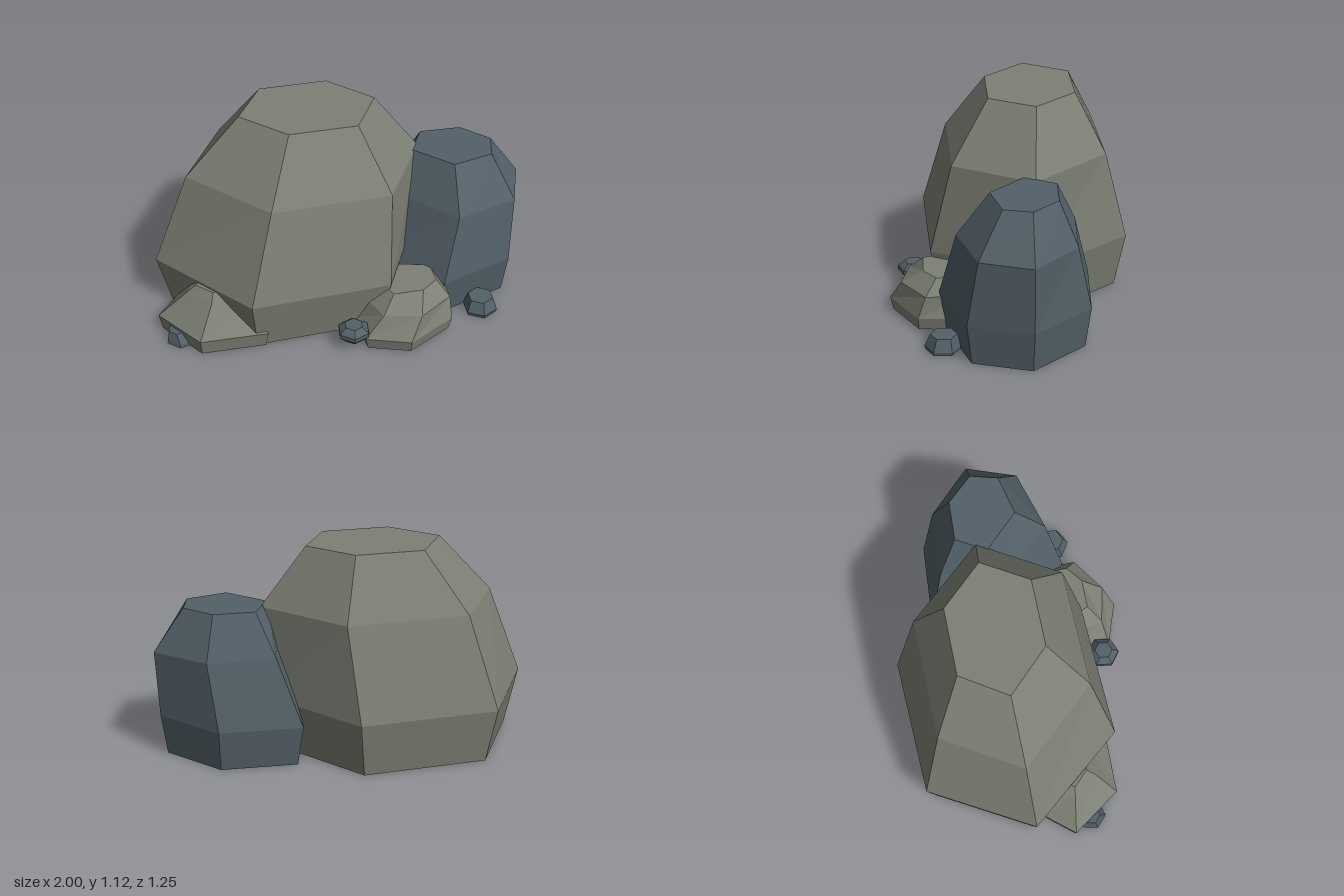
import * as THREE from 'three';

// Lofts a faceted stone through rings [y, [[x, z], ...]], counterclockwise from above.
function stone(name, material, rings) {
  const pts = rings.map(([y, ring]) => ring.map(([x, z]) => [x, y, z]));
  const n = pts[0].length;
  const pos = [];
  const tri = (a, b, c) => pos.push(...a, ...b, ...c);
  for (let k = 0; k < pts.length - 1; k++) {
    const lo = pts[k], hi = pts[k + 1];
    for (let i = 0; i < n; i++) {
      const j = (i + 1) % n;
      tri(lo[i], lo[j], hi[j]);
      tri(lo[i], hi[j], hi[i]);
    }
  }
  const bottom = pts[0], top = pts[pts.length - 1];
  for (let i = 1; i < n - 1; i++) {
    tri(top[0], top[i], top[i + 1]);
    tri(bottom[0], bottom[i + 1], bottom[i]);
  }
  const geometry = new THREE.BufferGeometry();
  geometry.setAttribute('position', new THREE.Float32BufferAttribute(pos, 3));
  geometry.computeVertexNormals();
  const mesh = new THREE.Mesh(geometry, material);
  mesh.name = name;
  return mesh;
}

// Shrinks a ring towards its middle, for the foot of a stone.
function shrink(ring, s) {
  const cx = ring.reduce((t, p) => t + p[0], 0) / ring.length;
  const cz = ring.reduce((t, p) => t + p[1], 0) / ring.length;
  return ring.map(([x, z]) => [cx + (x - cx) * s, cz + (z - cz) * s]);
}

// Regular six-sided ring for pebbles.
function hex(cx, cz, r, turn = 0) {
  return Array.from({ length: 6 }, (_, i) => {
    const a = turn + (i * Math.PI) / 3;
    return [cx + r * Math.sin(a), cz + r * Math.cos(a)];
  });
}

export function createModel() {
  const olive = new THREE.MeshStandardMaterial({ color: 0x7c8074, flatShading: true });
  olive.name = 'olive grey stone';
  const slate = new THREE.MeshStandardMaterial({ color: 0x536068, flatShading: true });
  slate.name = 'slate blue stone';
  const group = new THREE.Group();
  group.name = 'rockCluster';

  // Large boulder
  const large = [[-1, 0.08], [-0.5, 0.54], [0.24, 0.41], [0.44, -0.16], [-0.04, -0.63], [-0.77, -0.5]];
  group.add(stone('largeBoulder', olive, [
    [0, shrink(large, 0.9)],
    [0.3, large],
    [0.8, [[-0.81, 0.03], [-0.38, 0.39], [0.25, 0.29], [0.44, -0.16], [0.02, -0.51], [-0.62, -0.41]]],
    [1.12, [[-0.52, -0.03], [-0.27, 0.16], [0.09, 0.11], [0.2, -0.15], [-0.04, -0.34], [-0.4, -0.29]]],
  ]));

  // Medium boulder
  const medium = [[0.54, 0.33], [0.92, 0.15], [0.98, -0.19], [0.68, -0.46], [0.24, -0.43], [0.22, 0.05]];
  group.add(stone('mediumBoulder', slate, [
    [0, shrink(medium, 0.92)],
    [0.22, medium],
    [0.58, [[0.62, 0.23], [0.94, 0.09], [1, -0.19], [0.73, -0.39], [0.37, -0.36], [0.33, -0.01]]],
    [0.81, [[0.61, 0.06], [0.82, -0.02], [0.84, -0.17], [0.69, -0.29], [0.47, -0.27], [0.4, -0.1]]],
  ]));

  // Small stone at the front
  const front = [[0.09, 0.57], [0.33, 0.62], [0.57, 0.44], [0.56, 0.25], [0.25, 0.12], [0.05, 0.38]];
  group.add(stone('frontStone', olive, [
    [0, shrink(front, 0.93)],
    [0.07, front],
    [0.19, [[0.19, 0.53], [0.39, 0.55], [0.56, 0.4], [0.53, 0.2], [0.25, 0.15], [0.1, 0.36]]],
    [0.27, [[0.25, 0.45], [0.41, 0.43], [0.49, 0.35], [0.47, 0.22], [0.28, 0.2], [0.18, 0.33]]],
  ]));

  // Small stone at the side
  const side = [[-1, 0.3], [-0.78, 0.54], [-0.42, 0.5], [-0.4, 0.2], [-0.6, 0.05], [-0.9, 0.14]];
  group.add(stone('sideStone', olive, [
    [0, shrink(side, 0.94)],
    [0.09, side],
    [0.24, [[-0.84, 0.3], [-0.71, 0.41], [-0.56, 0.38], [-0.55, 0.25], [-0.65, 0.16], [-0.8, 0.2]]],
    [0.285, [[-0.79, 0.3], [-0.7, 0.37], [-0.61, 0.35], [-0.6, 0.26], [-0.66, 0.21], [-0.76, 0.24]]],
  ]));

  // Pebbles
  group.add(stone('frontPebble', slate, [
    [0.05, hex(0.03, 0.53, 0.05)],
    [0.09, hex(0.03, 0.53, 0.088)],
    [0.115, hex(0.03, 0.53, 0.088)],
    [0.145, hex(0.03, 0.53, 0.05)],
  ]));
  group.add(stone('rightPebble', slate, [
    [0, hex(0.75, 0.29, 0.09, 0.1)],
    [0.02, hex(0.75, 0.29, 0.095, 0.1)],
    [0.085, hex(0.75, 0.285, 0.07, 0.1)],
  ]));
  group.add(stone('leftPebble', slate, [
    [0, hex(-0.88, 0.39, 0.085, -0.1)],
    [0.02, hex(-0.88, 0.39, 0.082, -0.1)],
    [0.07, hex(-0.9, 0.39, 0.05, -0.1)],
  ]));
  return group;
}
